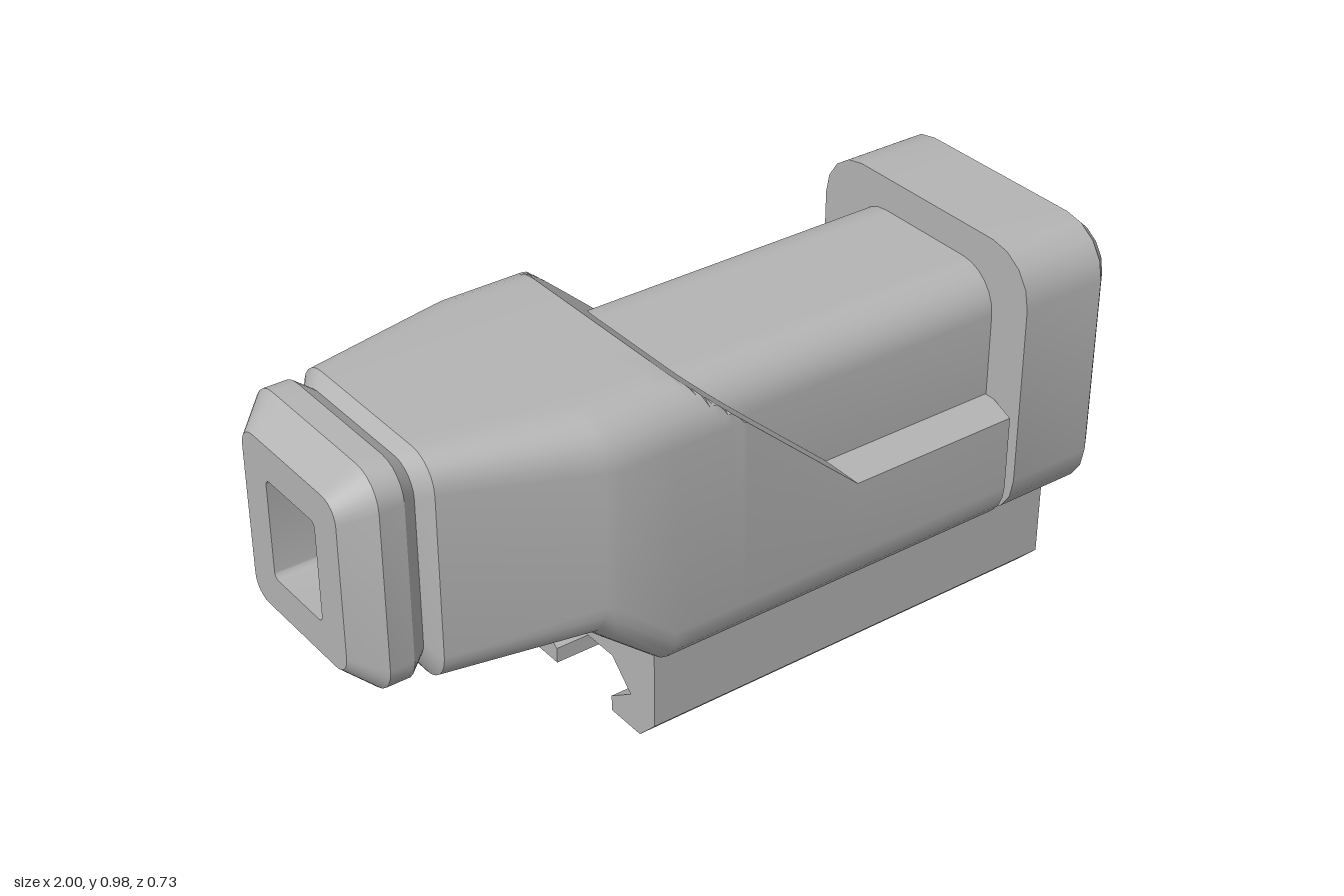
import * as THREE from 'three';
import { toCreasedNormals } from 'three/addons/utils/BufferGeometryUtils.js';

const INNER = 0.13; // top points that leave room for the bore where the body is cut open

// Rounded rectangle across the x axis; points above the cut height are lowered onto it
function section([x, hw, y0, y1, r], segs, cut) {
  const pts = [];
  const limit = cut(x);
  const add = (z, y) => pts.push([x, Math.min(y, limit), z]);
  const corners = [[hw - r, y1 - r], [r - hw, y1 - r], [r - hw, y0 + r], [hw - r, y0 + r]];
  corners.forEach(([cz, cy], k) => {
    for (let i = 0; i <= segs; i++) {
      const a = (k + i / segs) * Math.PI / 2;
      add(cz + r * Math.cos(a), cy + r * Math.sin(a));
    }
    if (k === 0) {
      const inner = Math.min(INNER, hw - r);
      add(inner, y1);
      add(-inner, y1);
    }
  });
  return pts;
}

// Skin through sections [x, half width, bottom, top, corner radius]
function loft(stations, segs, cut = () => Infinity, openFrom = Infinity) {
  const rings = stations.map((s) => section(s, segs, cut));
  const n = rings[0].length;
  const index = [];
  for (let i = 0; i < rings.length - 1; i++) {
    for (let j = 0; j < n; j++) {
      if (j === segs + 1 && stations[i][0] >= openFrom) continue;
      const a = i * n + j, b = i * n + (j + 1) % n;
      index.push(a, a + n, b, b, a + n, b + n);
    }
  }
  const geo = new THREE.BufferGeometry();
  geo.setAttribute('position', new THREE.Float32BufferAttribute(rings.flat(2), 3));
  geo.setIndex(index);
  return toCreasedNormals(geo, 0.5);
}

export function createModel() {
  const group = new THREE.Group();
  const grey = new THREE.MeshStandardMaterial({ color: 0xb4b4b4, side: THREE.DoubleSide });
  grey.name = 'grey';
  const part = (name, geo) => {
    const mesh = new THREE.Mesh(geo, grey);
    mesh.name = name;
    group.add(mesh);
  };

  // Main housing: rear eyepiece, neck groove, tapered body, sloped cut and lower cradle
  const cut = (x) => (x < -0.22 ? Infinity : Math.max(0.57, 0.98 - (x + 0.22) * 0.41 / 0.46));
  const body = [
    [-1, 0.1, 0.57, 0.825, 0.015],
    [-1, 0.193, 0.48, 0.915, 0.05],
    [-0.93, 0.25, 0.42, 0.98, 0.08],
    [-0.87, 0.25, 0.42, 0.98, 0.08],
    [-0.832, 0.225, 0.447, 0.953, 0.07],
    [-0.805, 0.262, 0.405, 0.98, 0.08],
    [-0.45, 0.357, 0.405, 0.98, 0.115],
    [-0.42, 0.365, 0.38, 0.98, 0.12],
    [-0.27, 0.365, 0.255, 0.98, 0.12],
  ];
  for (let i = 0; i <= 46; i++) body.push([-0.22 + i * 0.01, 0.365, 0.255, 0.98, 0.12]);
  body.push([0.702, 0.365, 0.255, 0.98, 0.12], [0.728, 0.28, 0.335, 0.9, 0.1]);
  part('housing', loft(body, 6, cut, -0.105));

  // Inner barrel showing above the cradle
  part('barrel', loft([
    [-0.3, 0.25, 0.36, 0.895, 0.11],
    [0.74, 0.25, 0.36, 0.895, 0.11],
  ], 6));

  // Front hood with funnel opening, continuing as the bore to the rear
  part('hoodAndBore', loft([
    [0.73, 0.15, 0.5, 0.86, 0.02],
    [0.73, 0.365, 0.252, 0.98, 0.13],
    [0.962, 0.365, 0.252, 0.98, 0.13],
    [1, 0.33, 0.287, 0.945, 0.1],
    [1, 0.275, 0.34, 0.89, 0.045],
    [0.85, 0.235, 0.385, 0.862, 0.035],
    [0.72, 0.1, 0.57, 0.825, 0.015],
    [-1, 0.1, 0.57, 0.825, 0.015],
  ], 4));

  // Clamp rail underneath, an undercut channel extruded lengthwise
  const half = [[0.283, 0.285], [0.283, 0.06], [0.225, 0], [0.113, 0], [0.113, 0.042], [0.19, 0.095], [0.118, 0.163]];
  const mirrored = half.map(([z, y]) => [-z, y]).reverse();
  const shape = new THREE.Shape([...half, ...mirrored].map(([z, y]) => new THREE.Vector2(z, y)));
  const rail = new THREE.ExtrudeGeometry(shape, { depth: 1.18, bevelEnabled: false });
  rail.rotateY(Math.PI / 2).translate(-0.272, 0, 0);
  part('mountRail', rail);

  return group;
}
